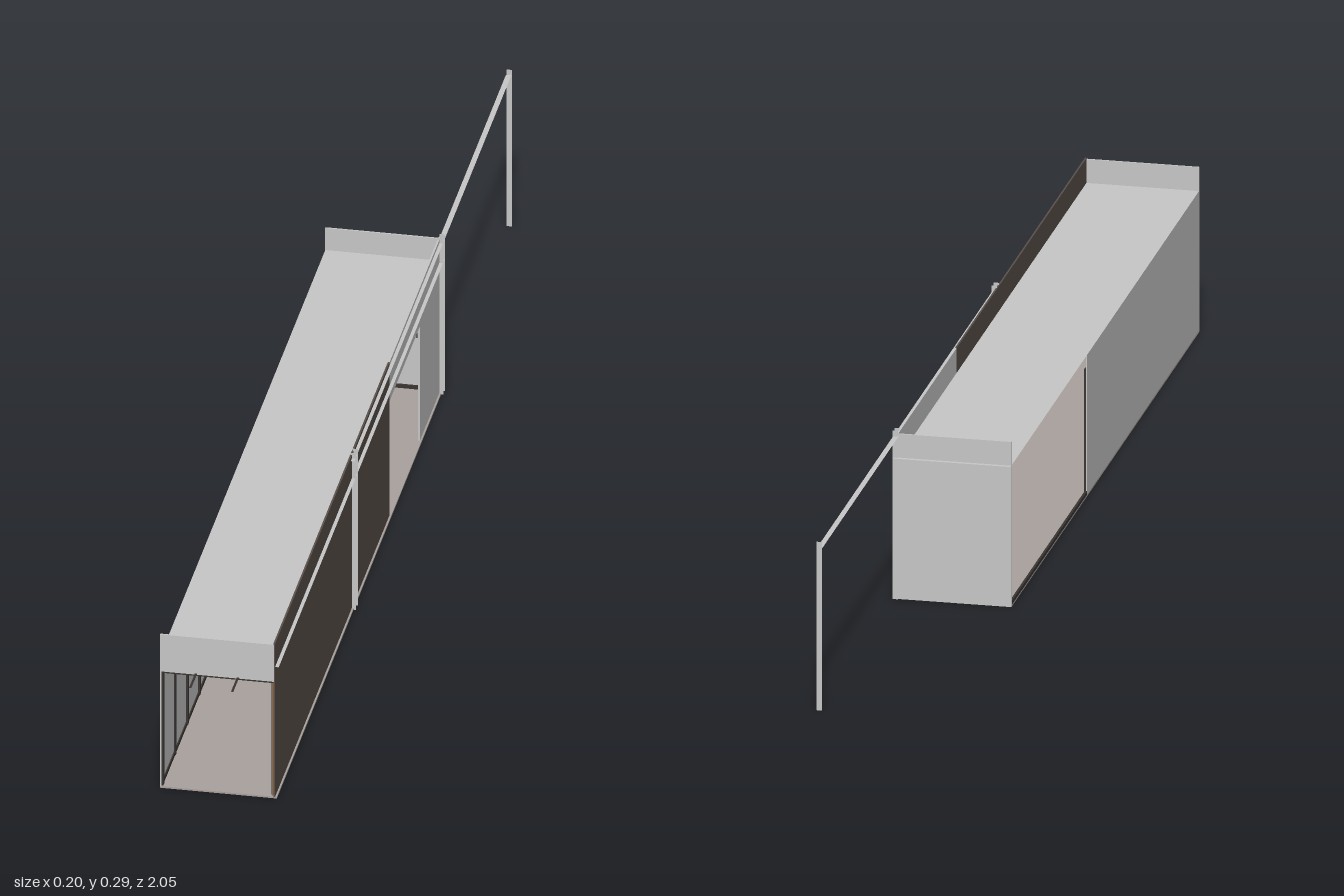
import * as THREE from 'three';

const mat = (name, color) =>
  new THREE.MeshStandardMaterial({ name, color, side: THREE.DoubleSide });

export function createModel() {
  const model = new THREE.Group();
  model.name = 'narrowPavilion';
  const plaster = mat('lightGreyPlaster', 0xc8c8c8);
  const cladding = mat('darkBrownCladding', 0x5a504b);
  const floorMat = mat('beigeFloor', 0xaaa29d);
  const frameMat = mat('darkFrame', 0x3a3533);
  const wood = mat('brownWood', 0x8c6a48);
  const tan = mat('tanCanvas', 0xcab79b);
  const metal = mat('greyMetal', 0x8a8a8a);
  const potMat = mat('potGrey', 0x4a4543);
  const leafMat = mat('darkLeaf', 0x16170c);
  const ceilingMat = new THREE.MeshStandardMaterial({ name: 'ceilingGrey', color: 0xc8c8c8 });

  const add = (name, geo, material, parent = model) => {
    const m = new THREE.Mesh(geo, material);
    m.name = name;
    parent.add(m);
    return m;
  };
  // Box from minimum and maximum corners
  const box = (name, material, x0, x1, y0, y1, z0, z1, parent) => {
    const m = add(name, new THREE.BoxGeometry(x1 - x0, y1 - y0, z1 - z0), material, parent);
    m.position.set((x0 + x1) / 2, (y0 + y1) / 2, (z0 + z1) / 2);
    return m;
  };
  // Flat sheets lying across z or across y
  const sheetZ = (name, material, x0, x1, y0, y1, z) => {
    const m = add(name, new THREE.PlaneGeometry(x1 - x0, y1 - y0), material);
    m.position.set((x0 + x1) / 2, (y0 + y1) / 2, z);
    return m;
  };
  const sheetY = (name, material, x0, x1, z0, z1, y, down = false) => {
    const m = add(name, new THREE.PlaneGeometry(x1 - x0, z1 - z0), material);
    m.rotation.x = down ? Math.PI / 2 : -Math.PI / 2;
    m.position.set((x0 + x1) / 2, y, (z0 + z1) / 2);
    return m;
  };

  // Floor, roof and ceiling
  box('floor', floorMat, -0.1, 0.095, 0, 0.003, -0.42, 1);
  sheetY('roof', plaster, -0.1, 0.098, -0.43, 1, 0.245);
  sheetY('ceiling', ceilingMat, -0.099, 0.089, -0.419, 0.999, 0.22, true);
  for (const x of [-0.04, 0.03])
    for (let z = -0.3; z < 0.9; z += 0.3)
      sheetY('ceilingSlot', frameMat, x - 0.002, x + 0.002, z, z + 0.15, 0.219, true);

  // End walls: open front under a fascia, solid back
  box('frontFascia', plaster, -0.1, 0.09, 0.217, 0.286, 0.997, 1);
  box('frontLintelTrim', frameMat, -0.1, 0.09, 0.214, 0.219, 0.994, 0.999);
  box('backWall', plaster, -0.1, 0.09, 0, 0.286, -0.423, -0.42);
  box('backSkirting', frameMat, -0.1, 0.09, 0.002, 0.009, -0.42, -0.416);

  // Left side: dark clad wall, then a light wall with an opening
  box('cladWall', cladding, 0.089, 0.092, 0, 0.288, 0.015, 1);
  const side = new THREE.Shape();
  side.moveTo(-0.423, 0).lineTo(-0.245, 0).lineTo(-0.245, 0.216).lineTo(0.015, 0.216);
  side.lineTo(0.015, 0.288).lineTo(-0.423, 0.288).closePath();
  const sideGeo = new THREE.ExtrudeGeometry(side, { depth: 0.003, bevelEnabled: false });
  sideGeo.rotateY(-Math.PI / 2);
  add('openingWall', sideGeo, plaster).position.x = 0.092;

  // Wooden cupboard doors along the inside of the clad wall
  const doors = new THREE.Group();
  doors.name = 'cupboardDoors';
  model.add(doors);
  box('doorPanel', wood, 0.086, 0.089, 0.003, 0.22, 0.015, 0.997, doors);
  for (let i = 0; i <= 10; i++) {
    const z = 0.018 + i * 0.0972;
    box('doorJoint', frameMat, 0.085, 0.0865, 0.003, 0.22, z - 0.003, z + 0.003, doors);
  }
  box('doorHandle', metal, 0.083, 0.086, 0.08, 0.106, 0.29, 0.294, doors);

  // Right side: grey panels in dark frames, open towards the back
  const screen = new THREE.Group();
  screen.name = 'framedScreen';
  model.add(screen);
  box('screenWall', plaster, -0.1, -0.098, 0, 0.245, 0.15, 1, screen);
  box('bottomRail', frameMat, -0.1, -0.096, 0, 0.009, -0.42, 0.15, screen);
  box('innerBottomRail', frameMat, -0.098, -0.096, 0.003, 0.01, 0.15, 0.997, screen);
  box('innerTopRail', frameMat, -0.098, -0.096, 0.213, 0.22, 0.15, 0.997, screen);
  for (let i = 0; i < 9; i++) {
    const z = 0.993 - i * 0.105;
    box('mullion', frameMat, -0.098, -0.095, 0.003, 0.22, z - 0.004, z + 0.004, screen);
  }
  box('screenHandle', metal, -0.096, -0.093, 0.068, 0.116, 0.2, 0.204, screen);

  // Flat posts and the beam that runs past the back
  for (const z of [-1, -0.425, -0.412, 0.325, 0.34])
    sheetZ('post', plaster, 0.09, 0.099, 0, 0.292, z);
  sheetY('beam', plaster, 0.089, 0.098, -1, 0.35, 0.282);

  // Picture on the back wall
  box('pictureFrame', frameMat, -0.063, 0.054, 0.098, 0.186, -0.42, -0.4175);
  box('pictureCanvas', tan, -0.0615, 0.0525, 0.098, 0.1845, -0.4175, -0.4165);
  const mound = add('pictureMound', new THREE.CircleGeometry(0.017, 12, 0, Math.PI), metal);
  mound.scale.y = 0.7;
  mound.material = plaster;
  mound.position.set(0.024, 0.1, -0.416);

  // Potted plant
  const plant = new THREE.Group();
  plant.name = 'pottedPlant';
  plant.position.set(-0.045, 0.003, -0.355);
  model.add(plant);
  const profile = [[0, 0], [0.018, 0], [0.022, 0.035], [0.0245, 0.035], [0.0245, 0.042], [0.022, 0.042], [0.021, 0.038], [0, 0.038]];
  add('pot', new THREE.LatheGeometry(profile.map(p => new THREE.Vector2(...p)), 20), potMat, plant);

  let seed = 7;
  const rnd = () => (seed = (seed * 16807) % 2147483647) / 2147483647;
  const leaf = new THREE.Shape();
  leaf.moveTo(0, 0).quadraticCurveTo(0.0045, 0.006, 0, 0.017).quadraticCurveTo(-0.0045, 0.006, 0, 0);
  const leafGeo = new THREE.ShapeGeometry(leaf, 3);
  const stems = [[0.004, 0.195, 0.0], [-0.012, 0.15, 0.016], [0.02, 0.165, 0.008], [-0.02, 0.125, -0.014], [0.01, 0.14, -0.02]];
  for (const [x, y, z] of stems) {
    const curve = new THREE.QuadraticBezierCurve3(
      new THREE.Vector3(0.004, 0.036, 0), new THREE.Vector3(x * 0.3, y * 0.55, z * 0.4), new THREE.Vector3(x, y - 0.008, z));
    add('stem', new THREE.TubeGeometry(curve, 8, 0.0013, 5), leafMat, plant);
    for (let i = 0; i < 42; i++) {
      const t = 0.4 + 0.6 * rnd();
      const m = add('leaf', leafGeo, leafMat, plant);
      const a = rnd() * Math.PI * 2;
      const r = 0.012 * rnd() * (1.3 - t * 0.5);
      m.position.copy(curve.getPoint(t)).add(new THREE.Vector3(Math.cos(a) * r, 0.004 * rnd(), Math.sin(a) * r));
      m.rotation.set(1.2 + rnd() * 1.1, Math.PI / 2 - a, 0, 'YXZ');
    }
  }
  return model;
}
